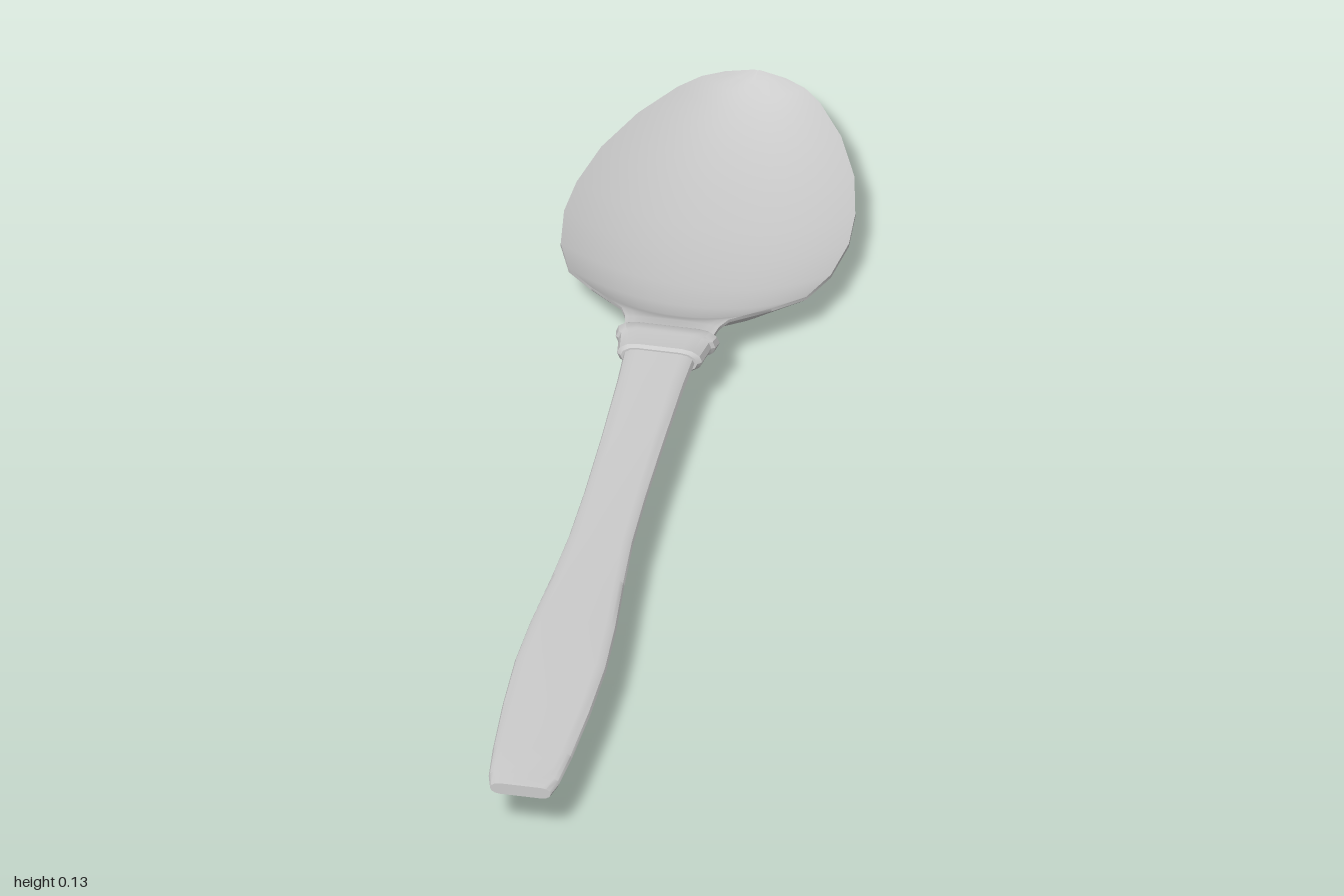
import * as THREE from 'three';
import { toCreasedNormals } from 'three/addons/utils/BufferGeometryUtils.js';

const material = new THREE.MeshStandardMaterial({ color: 0xcccccc, side: THREE.DoubleSide });

// Skin a list of equal-length rings (counter-clockwise seen from +z, z increasing), capped at both ends
function loft(name, rings, crease) {
  const n = rings[0].length;
  const index = [];
  for (let i = 0; i < rings.length - 1; i++) {
    for (let j = 0; j < n; j++) {
      const a = i * n + j, b = i * n + (j + 1) % n;
      index.push(a, b, b + n, a, b + n, a + n);
    }
  }
  const last = (rings.length - 1) * n;
  for (let j = 1; j < n - 1; j++) {
    index.push(0, j + 1, j, last, last + j, last + j + 1);
  }
  const geometry = new THREE.BufferGeometry();
  geometry.setAttribute('position', new THREE.Float32BufferAttribute(rings.flat(2), 3));
  geometry.setIndex(index);
  const mesh = new THREE.Mesh(toCreasedNormals(geometry, crease), material);
  mesh.name = name;
  return mesh;
}

// Flat bar section with rounded sides: half width w, from y0 to y1
function barRing([z, w, y0, y1]) {
  const h = (y1 - y0) / 2, y = (y0 + y1) / 2, ring = [];
  const r = Math.min(h * 1.5, w * 0.5);
  for (const side of [1, -1]) {
    for (let k = -3; k <= 3; k++) {
      const a = (k / 3) * Math.PI / 2;
      ring.push([side * (w - r + r * Math.cos(a)), y + side * h * Math.sin(a), z]);
    }
  }
  return ring;
}

// Dished section: underside from left to right, then the hollow back again
function bowlRing([z, w, rim, bottom, top]) {
  const n = 20, lip = 0.003, ring = [];
  const dish = (u, edge, mid) => edge + (mid - edge) * (1 - Math.abs(u) ** 2.2);
  for (let k = 0; k <= n; k++) {
    const u = -Math.cos(Math.PI * k / n);
    ring.push([u * w, dish(u, rim - lip, bottom), z]);
  }
  for (let k = n; k >= 0; k--) {
    const u = -Math.cos(Math.PI * k / n);
    ring.push([u * w, dish(u, rim + lip, top), z]);
  }
  return ring;
}

export function createModel() {
  const group = new THREE.Group();
  group.name = 'spoon';

  // Bowl and neck: z, half width, rim height, underside height, hollow height
  const bowl = [
    [-1, 0.004, 0.078, 0.073, 0.08],
    [-0.985, 0.05, 0.079, 0.058, 0.068],
    [-0.965, 0.085, 0.079, 0.046, 0.056],
    [-0.93, 0.117, 0.079, 0.032, 0.042],
    [-0.85, 0.167, 0.078, 0.014, 0.024],
    [-0.75, 0.208, 0.077, 0.005, 0.016],
    [-0.65, 0.229, 0.077, 0.001, 0.013],
    [-0.57, 0.234, 0.077, 0.004, 0.016],
    [-0.48, 0.222, 0.079, 0.012, 0.025],
    [-0.41, 0.195, 0.082, 0.024, 0.038],
    [-0.36, 0.148, 0.089, 0.037, 0.055],
    [-0.33, 0.115, 0.094, 0.052, 0.075],
    [-0.305, 0.088, 0.098, 0.068, 0.092],
    [-0.28, 0.077, 0.1, 0.08, 0.107],
    [-0.22, 0.068, 0.105, 0.085, 0.115],
  ];
  group.add(loft('bowl', bowl.map(bowlRing), 0.7));

  // Stepped collar between neck and handle: z, half width, bottom, top
  const collar = [
    [-0.25, 0.078, 0.081, 0.117],
    [-0.244, 0.085, 0.077, 0.121],
    [-0.225, 0.082, 0.079, 0.125],
    [-0.22, 0.076, 0.083, 0.125],
    [-0.175, 0.07, 0.086, 0.13],
    [-0.168, 0.063, 0.09, 0.127],
  ];
  group.add(loft('collar', collar.map(barRing), 0.5));

  // Handle, waisted and flaring towards the end
  const handle = [
    [-0.2, 0.06, 0.093, 0.125],
    [-0.1, 0.055, 0.094, 0.122],
    [0.05, 0.052, 0.093, 0.117],
    [0.2, 0.051, 0.092, 0.114],
    [0.32, 0.053, 0.091, 0.113],
    [0.43, 0.06, 0.09, 0.112],
    [0.55, 0.07, 0.089, 0.112],
    [0.66, 0.075, 0.089, 0.112],
    [0.78, 0.072, 0.088, 0.111],
    [0.9, 0.065, 0.087, 0.11],
    [0.97, 0.058, 0.087, 0.11],
    [1, 0.05, 0.088, 0.109],
  ];
  group.add(loft('handle', handle.map(barRing), 0.6));

  return group;
}
